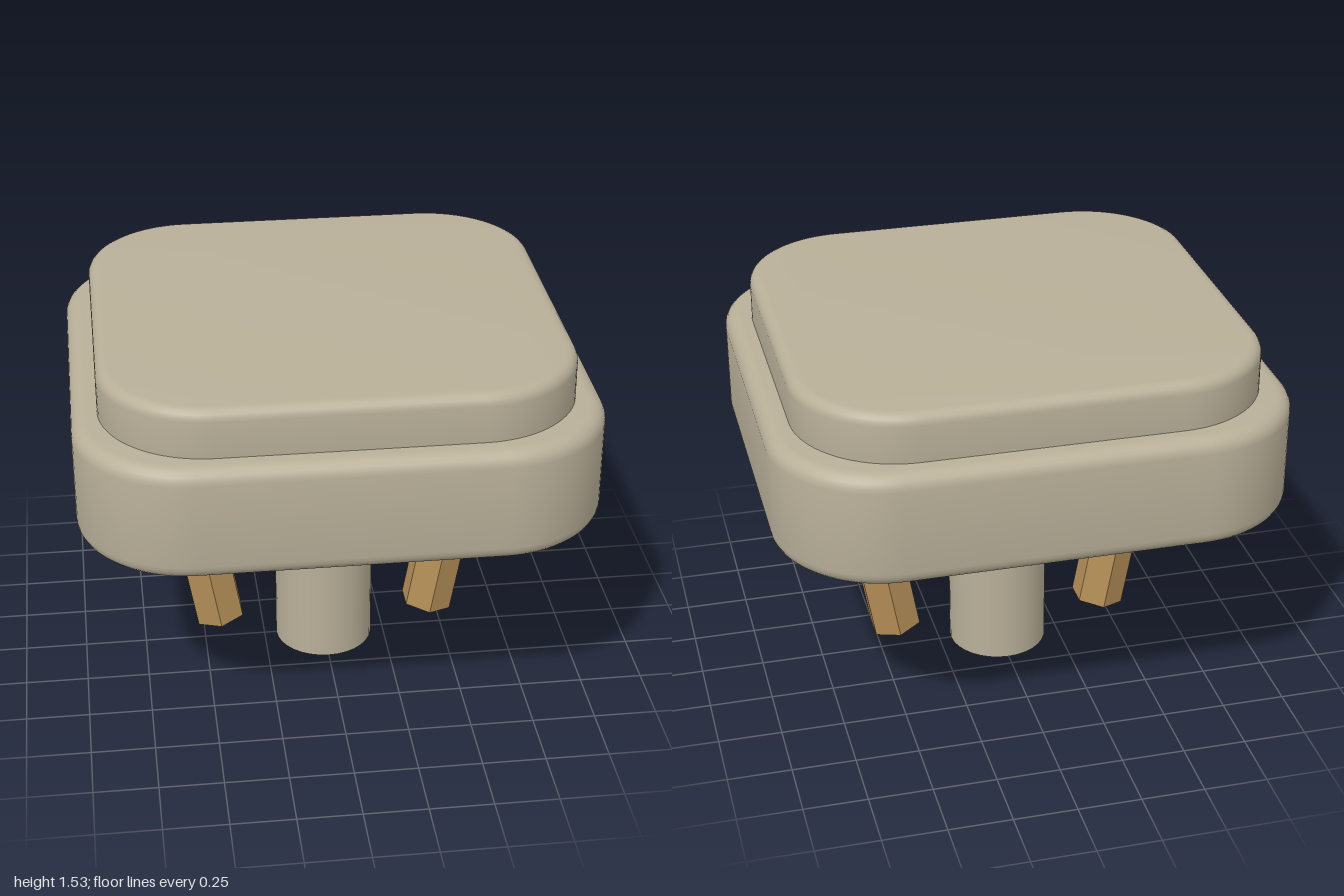
import * as THREE from 'three';
import { toCreasedNormals } from 'three/addons/utils/BufferGeometryUtils.js';

// Rounded rectangle slab with soft top and bottom edges, from y0 to y1
function roundedSlab(halfX, halfZ, radius, y0, y1, bevel) {
  const x = halfX - bevel, z = halfZ - bevel, r = radius - bevel;
  const shape = new THREE.Shape();
  shape.absarc(x - r, z - r, r, 0, Math.PI / 2);
  shape.absarc(-x + r, z - r, r, Math.PI / 2, Math.PI);
  shape.absarc(-x + r, -z + r, r, Math.PI, Math.PI * 1.5);
  shape.absarc(x - r, -z + r, r, Math.PI * 1.5, Math.PI * 2);
  const geometry = new THREE.ExtrudeGeometry(shape, {
    depth: y1 - y0 - 2 * bevel,
    bevelSize: bevel,
    bevelThickness: bevel,
    bevelSegments: 5,
    curveSegments: 10,
  });
  geometry.rotateX(-Math.PI / 2);
  geometry.translate(0, y0 + bevel, 0);
  return toCreasedNormals(geometry, 0.7);
}

export function createModel() {
  const model = new THREE.Group();
  model.name = 'stool';
  const stone = new THREE.MeshStandardMaterial({ color: 0xb8af98 });
  stone.name = 'stone';
  const wood = new THREE.MeshStandardMaterial({ color: 0xb58f58, flatShading: true });
  wood.name = 'wood';

  const add = (name, geometry, material) => {
    const mesh = new THREE.Mesh(geometry, material);
    mesh.name = name;
    model.add(mesh);
    return mesh;
  };

  // Wide body and the smaller slab set into its top
  add('body', roundedSlab(1, 0.955, 0.43, 0.885, 1.34, 0.06), stone);
  add('topSlab', roundedSlab(0.9, 0.86, 0.41, 1.24, 1.53, 0.045), stone);

  // Central post
  const post = add('post', new THREE.CylinderGeometry(0.2, 0.2, 0.95, 32), stone);
  post.position.y = 0.475;

  // Hexagonal pegs leaning inward at the bottom
  const length = 0.9, tilt = THREE.MathUtils.degToRad(10);
  const pegGeometry = new THREE.CylinderGeometry(0.108, 0.108, length, 6);
  pegGeometry.translate(0, length / 2, 0);
  for (const side of [1, -1]) {
    const peg = add(side > 0 ? 'leftPeg' : 'rightPeg', pegGeometry, wood);
    peg.position.set(side * 0.437, 0.115, 0);
    peg.rotation.z = -side * tilt;
  }
  return model;
}
